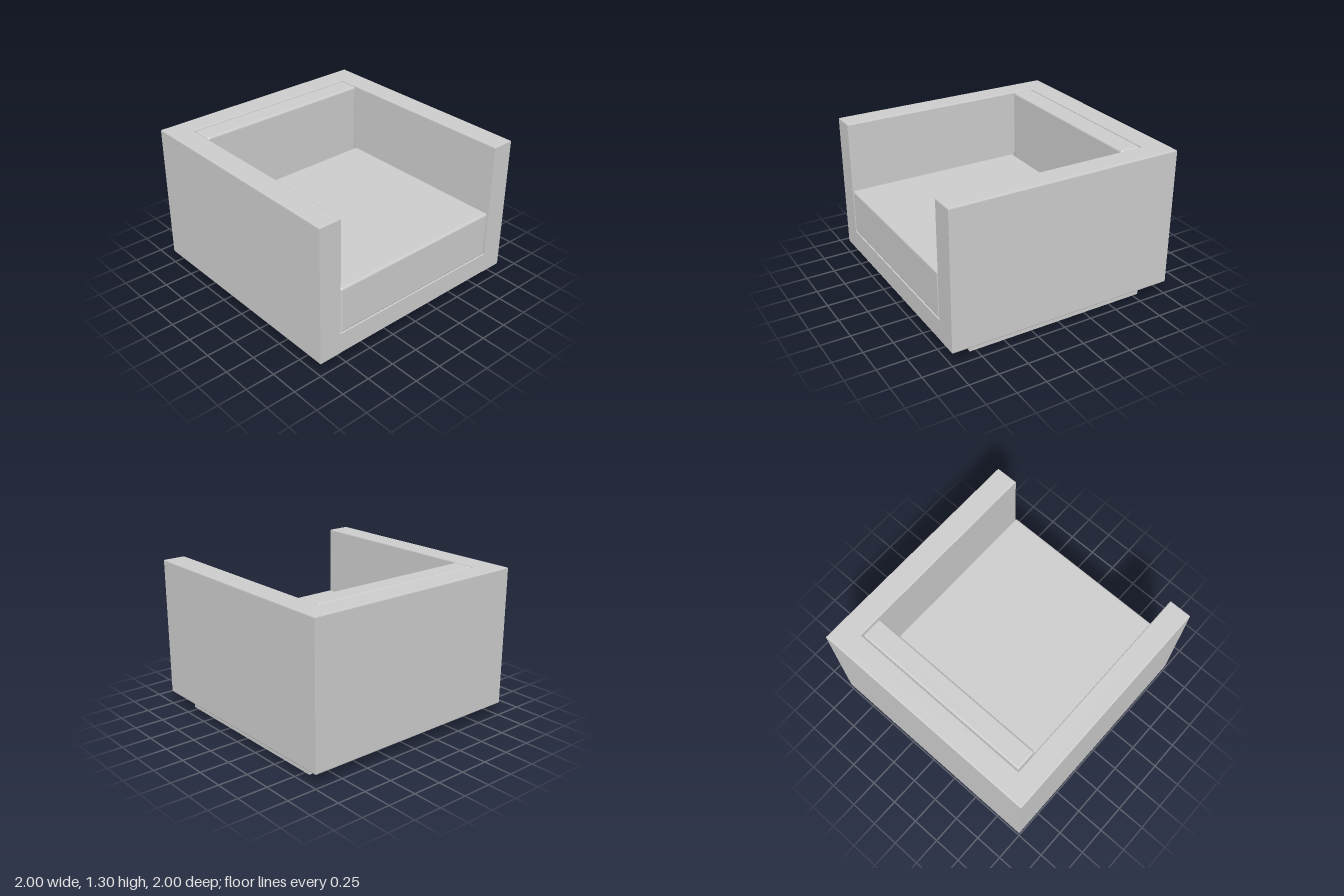
import * as THREE from 'three';
import { RoundedBoxGeometry } from 'three/addons/geometries/RoundedBoxGeometry.js';

const BOTTOM = 0.11, TOP = 1.3, FLOOR = 0.295, INNER = 0.806, BEVEL = 0.01;

export function createModel() {
  const group = new THREE.Group();
  const material = new THREE.MeshStandardMaterial({ color: 0xcccccc });

  const add = (name, geometry, x = 0, y = 0, z = 0) => {
    const mesh = new THREE.Mesh(geometry, material);
    mesh.name = name;
    mesh.position.set(x, y, z);
    group.add(mesh);
    return mesh;
  };
  const outline = (points) => new THREE.Shape(points.map(([x, y]) => new THREE.Vector2(x, y)));

  // Arms and back: one U-shaped wall, open towards +x, with fine bevels
  const wall = new THREE.ExtrudeGeometry(
    outline([[-1, -1], [1, -1], [1, -INNER], [-INNER, -INNER], [-INNER, INNER], [1, INNER], [1, 1], [-1, 1]]),
    {
      depth: TOP - BOTTOM - 2 * BEVEL, bevelEnabled: true, bevelSegments: 2,
      bevelSize: BEVEL, bevelThickness: BEVEL, bevelOffset: -BEVEL,
    });
  wall.rotateX(-Math.PI / 2);
  add('armsAndBack', wall, 0, BOTTOM + BEVEL, 0);

  // Base slab between the arms, chamfered along its lower front edge
  const halfBase = INNER + BEVEL;
  const base = new THREE.ExtrudeGeometry(
    outline([[-INNER - BEVEL, BOTTOM], [1 - BEVEL, BOTTOM], [1, BOTTOM + BEVEL], [1, FLOOR], [-INNER - BEVEL, FLOOR]]),
    { depth: 2 * halfBase, bevelEnabled: false });
  add('base', base, 0, 0, -halfBase);

  // Cushions, given by their x and y ranges
  const cushion = (name, x0, x1, y0, y1) =>
    add(name, new RoundedBoxGeometry(x1 - x0, y1 - y0, 1.6, 2, 0.02), (x0 + x1) / 2, (y0 + y1) / 2, 0);
  cushion('seatCushion', -0.6, 1, 0.3, 0.7);
  cushion('backCushion', -0.8, -0.615, 0.3, 1.3);

  // Runners under the arms
  for (const side of [1, -1]) {
    add(side > 0 ? 'frontRunner' : 'rearRunner', new THREE.BoxGeometry(1.6, BOTTOM, 0.1), 0, BOTTOM / 2, side * 0.85);
  }
  return group;
}
